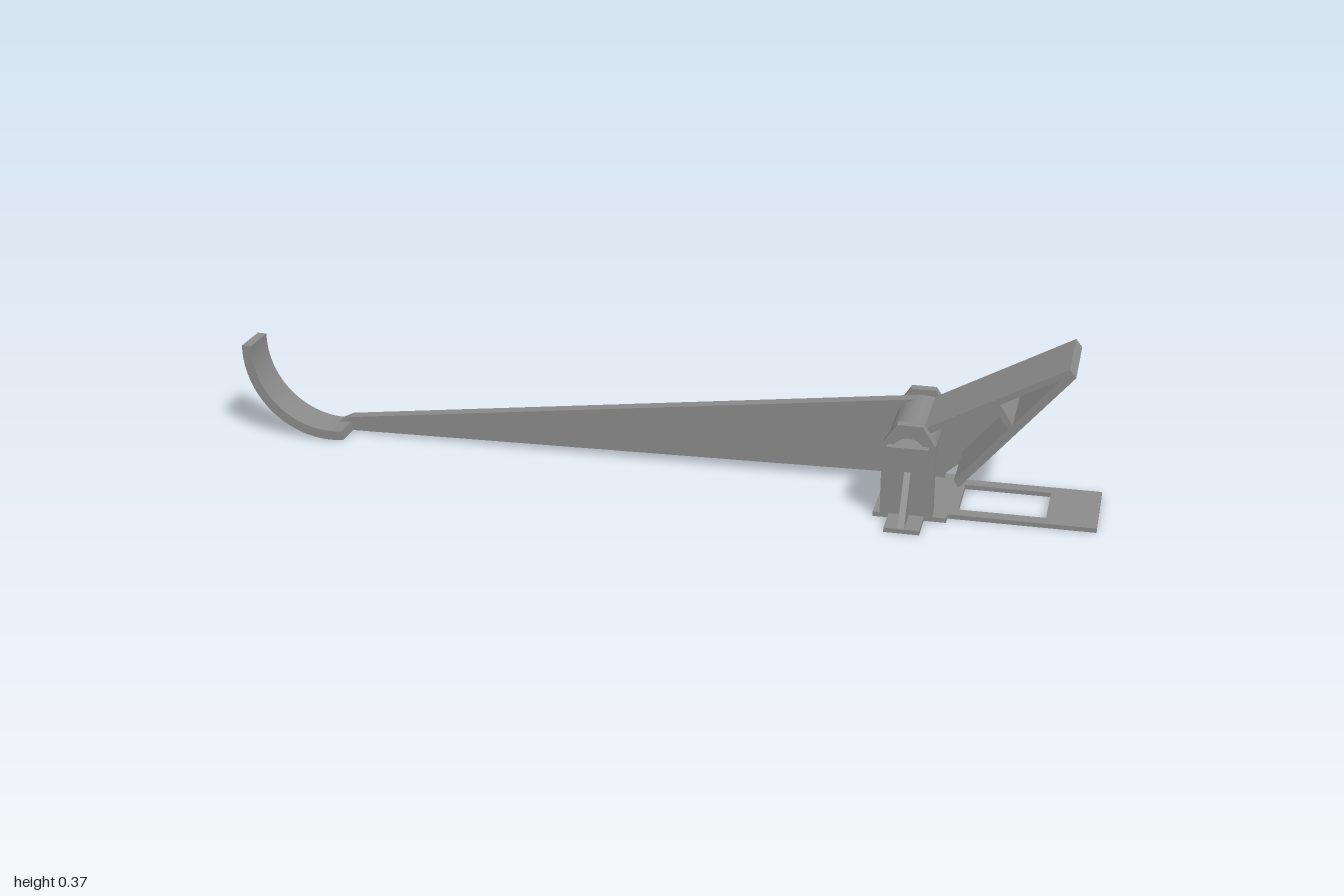
import * as THREE from 'three';

const grey = new THREE.MeshStandardMaterial({ color: 0x8a8a8a });
grey.name = 'plain grey';

const PX = 0.592, PY = 0.15; // pivot centre

export function createModel() {
  const model = new THREE.Group();
  model.name = 'leverAssembly';

  const add = (name, geometry) => {
    const mesh = new THREE.Mesh(geometry, grey);
    mesh.name = name;
    model.add(mesh);
    return mesh;
  };
  const box = (name, x0, x1, y0, y1, z0, z1) =>
    add(name, new THREE.BoxGeometry(x1 - x0, y1 - y0, z1 - z0))
      .position.set((x0 + x1) / 2, (y0 + y1) / 2, (z0 + z1) / 2);
  const poly = (pts) => new THREE.Shape(pts.map(([x, y]) => new THREE.Vector2(x, y)));
  // extrude an x-y outline between two depths
  const slab = (name, shape, z0, z1) => {
    const g = new THREE.ExtrudeGeometry(shape, { depth: z1 - z0, bevelEnabled: false, curveSegments: 32 });
    g.translate(0, 0, z0);
    return add(name, g);
  };
  // arched opening above the axle
  const arch = () => {
    const p = new THREE.Path();
    p.moveTo(PX - 0.038, PY);
    p.absarc(PX, PY, 0.038, Math.PI, 0, true);
    p.lineTo(PX - 0.038, PY);
    return p;
  };

  // long flat arm, continuing behind the pedal
  const arm = poly([[-0.8, 0.004], [0.645, 0.027], [0.7, 0.074], [0.934, 0.347],
    [0.92, 0.365], [0.617, 0.2], [0.585, 0.205], [-0.765, 0.037], [-0.8, 0.02]]);
  arm.holes.push(arch());
  slab('arm', arm, -0.1, -0.07);

  // curved hook at the far end
  const hook = new THREE.Shape();
  const a0 = Math.PI * 0.99, a1 = Math.PI * 1.545;
  hook.absarc(-0.788, 0.214, 0.212, a0, a1, false);
  hook.absarc(-0.788, 0.214, 0.19, a1, a0, true);
  slab('hook', hook, -0.1, -0.006);

  // pivot hub
  const hub = new THREE.Shape();
  hub.absarc(PX, PY, 0.055, 0, Math.PI * 2, false);
  hub.holes.push(arch());
  slab('hub', hub, -0.1, 0.1);

  // pedal: top flange, foot plate and inner rib
  slab('topFlange', poly([[0.605, 0.204], [0.62, 0.186], [0.915, 0.347], [0.934, 0.347], [0.92, 0.365], [0.62, 0.203]]), -0.1, 0.1);
  slab('footPlate', poly([[0.7, 0.074], [0.934, 0.347], [0.92, 0.36], [0.69, 0.09]]), -0.1, 0.1);
  slab('pedalRib', poly([[0.765, 0.27], [0.803, 0.212], [0.813, 0.222], [0.776, 0.278]]), -0.1, 0.1);

  // axle with its wider ends
  const axle = (name, w, z0, z1) => slab(name, poly([
    [PX - w, 0.14], [PX - w + 0.012, 0.128], [PX + w - 0.012, 0.128],
    [PX + w, 0.14], [PX + w, 0.172], [PX - w, 0.172]]), z0, z1);
  axle('axle', 0.036, -0.126, 0.126);
  axle('axleHead', 0.045, 0.126, 0.144);
  axle('axleNut', 0.045, -0.135, -0.126);
  axle('axleEnd', 0.035, -0.163, -0.135);

  // bearing brackets, feet and gussets on both sides
  for (const s of [1, -1]) {
    const bracket = poly([[0.535, 0.008], [0.65, 0.008], [0.65, 0.173], [0.62, 0.217], [0.565, 0.217], [0.535, 0.173]]);
    bracket.holes.push(arch());
    slab('bracket', bracket, s > 0 ? 0.102 : -0.126, s > 0 ? 0.126 : -0.102);

    const gusset = new THREE.ExtrudeGeometry(poly([[0.12, 0.008], [0.204, 0.01], [0.126, 0.11], [0.12, 0.11]]),
      { depth: 0.014, bevelEnabled: false });
    gusset.rotateY(-Math.PI / 2); // outline x becomes depth z
    if (s < 0) gusset.rotateY(Math.PI);
    gusset.translate(PX + s * 0.007, 0, 0);
    add('gusset', gusset);

    box('foot', 0.555, 0.632, 0, 0.01, s > 0 ? 0.126 : -0.205, s > 0 ? 0.205 : -0.126);
    box('baseRail', 0.7, 0.89, 0, 0.01, s > 0 ? 0.07 : -0.102, s > 0 ? 0.102 : -0.07);
  }

  // base plate around the open window
  box('basePlate', 0.52, 0.68, 0, 0.01, -0.126, 0.126);
  box('baseBridge', 0.68, 0.7, 0, 0.01, -0.102, 0.102);
  box('baseEnd', 0.89, 1, 0, 0.01, -0.102, 0.102);

  return model;
}
